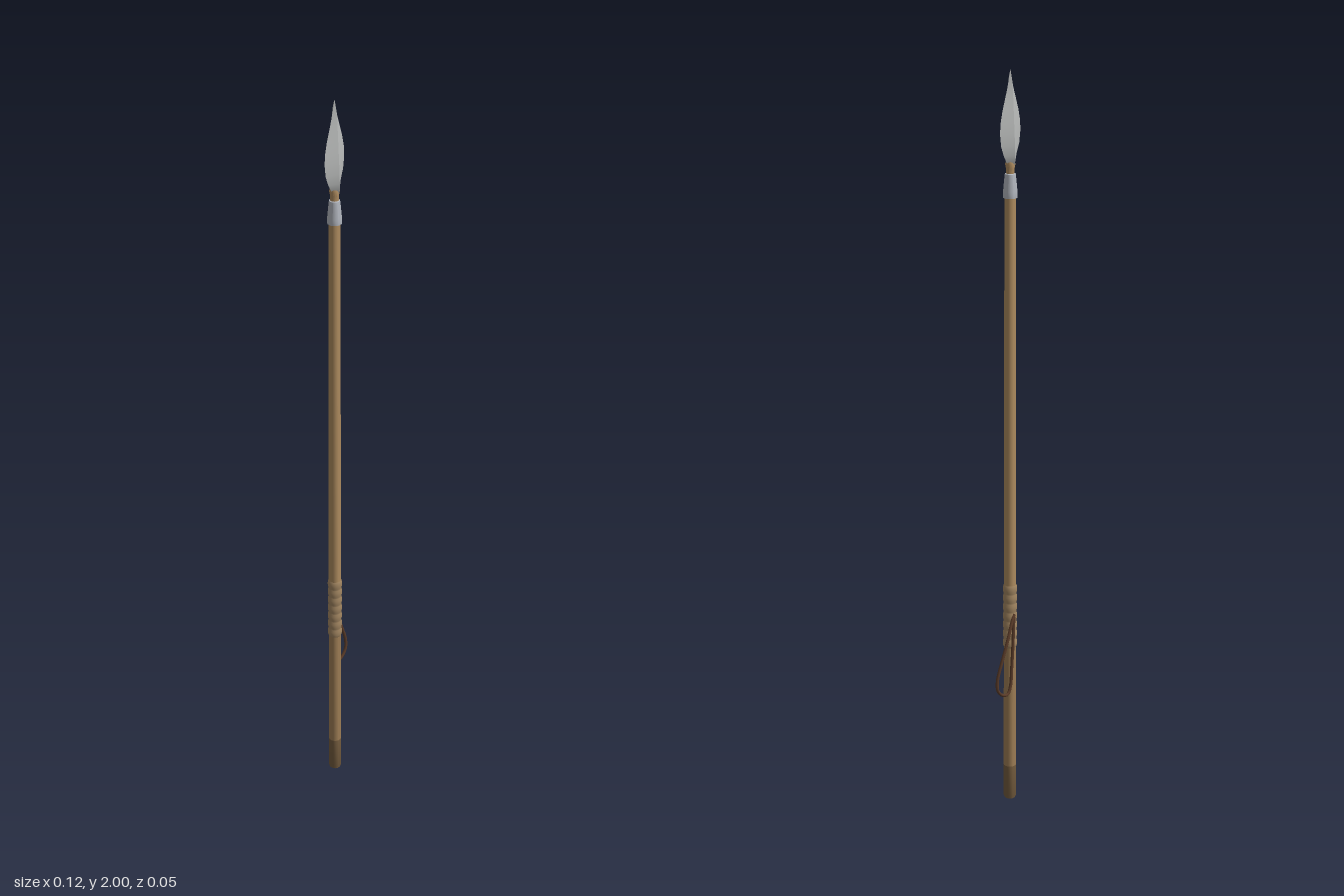
import * as THREE from 'three';
import { toCreasedNormals } from 'three/addons/utils/BufferGeometryUtils.js';

const WOOD = 0xac8a5e, WOOD_WORN = 0x9c7c54, WOOD_DARK = 0x745c3e, WRAP = 0xa08460;
const STEEL = 0xb8bab9, SOCKET = 0xb0b4bc, LEATHER = 0x583a28;

const v2 = (pts) => pts.map(([r, y]) => new THREE.Vector2(r, y));

function add(parent, name, geometry, color) {
  const mesh = new THREE.Mesh(geometry, new THREE.MeshStandardMaterial({ color }));
  mesh.name = name;
  parent.add(mesh);
}

const turned = (pts) => toCreasedNormals(new THREE.LatheGeometry(v2(pts), 16), 0.7);

// Leaf blade: diamond cross-sections whose width and thickness follow the outline
function bladeGeometry() {
  // y, half width, half thickness
  const rows = [
    [1.765, 0.009, 0.013], [1.775, 0.015, 0.016], [1.79, 0.024, 0.016], [1.815, 0.034, 0.015],
    [1.845, 0.038, 0.014], [1.87, 0.037, 0.0125], [1.9, 0.03, 0.011], [1.93, 0.02, 0.0095],
    [1.955, 0.0115, 0.008], [1.98, 0.005, 0.005], [2, 0.0004, 0.0004],
  ];
  const n = rows.length - 1;
  const geometry = new THREE.CylinderGeometry(1, 1, n, 4, n);
  const p = geometry.attributes.position;
  for (let i = 0; i < p.count; i++) {
    const [y, w, t] = rows[Math.round(p.getY(i) + n / 2)];
    p.setXYZ(i, p.getX(i) * w, y, p.getZ(i) * t);
  }
  return toCreasedNormals(geometry, 0.6);
}

export function createModel() {
  const model = new THREE.Group();
  model.name = 'spear';

  // Everything turned on the shaft axis
  const spear = new THREE.Group();
  spear.name = 'spearBody';
  spear.position.set(-0.02, 0, 0.004);
  model.add(spear);

  // Tapered wooden shaft, darker towards its chamfered butt
  add(spear, 'shaftButt', turned([[0, 0], [0.015, 0], [0.017, 0.006], [0.0169, 0.1]]), WOOD_DARK);
  add(spear, 'shaftLower', turned([[0.0169, 0.1], [0.0165, 0.55]]), WOOD_WORN);
  add(spear, 'shaftUpper', turned([[0.0165, 0.55], [0.0145, 1.7]]), WOOD);

  // Flared metal socket and the neck that holds the blade
  add(spear, 'socket', turned([
    [0.014, 1.683], [0.018, 1.683], [0.0185, 1.69], [0.0178, 1.7], [0.0145, 1.735], [0.0135, 1.743], [0.009, 1.745],
  ]), SOCKET);
  add(spear, 'neck', turned([
    [0.011, 1.74], [0.0105, 1.755], [0.013, 1.768], [0.009, 1.778], [0, 1.78],
  ]), WOOD);
  add(spear, 'blade', bladeGeometry(), STEEL);

  // Ribbed grip wrapping
  const ribs = 7, bottom = 0.455, pitch = 0.026, profile = [[0.016, bottom]];
  for (let i = 0; i < ribs; i++) {
    const y = bottom + i * pitch;
    profile.push([0.0172, y + 0.002], [0.019, y + 0.008], [0.019, y + 0.018], [0.0172, y + 0.024]);
  }
  profile.push([0.016, bottom + ribs * pitch]);
  add(spear, 'gripWrap', new THREE.LatheGeometry(v2(profile), 16), WRAP);

  // Hanging wrist cord
  const path = new THREE.CatmullRomCurve3([
    [-0.018, 0.555, -0.012], [-0.002, 0.53, -0.016], [0.018, 0.49, -0.02], [0.038, 0.44, -0.019],
    [0.053, 0.385, -0.015], [0.05, 0.355, -0.014], [0.034, 0.336, -0.015], [0.012, 0.331, -0.016],
    [0, 0.35, -0.015], [-0.006, 0.4, -0.014], [-0.01, 0.47, -0.015], [-0.016, 0.55, -0.013],
  ].map((p) => new THREE.Vector3(...p)));
  add(model, 'wristCord', new THREE.TubeGeometry(path, 64, 0.0042, 8), LEATHER);

  return model;
}
